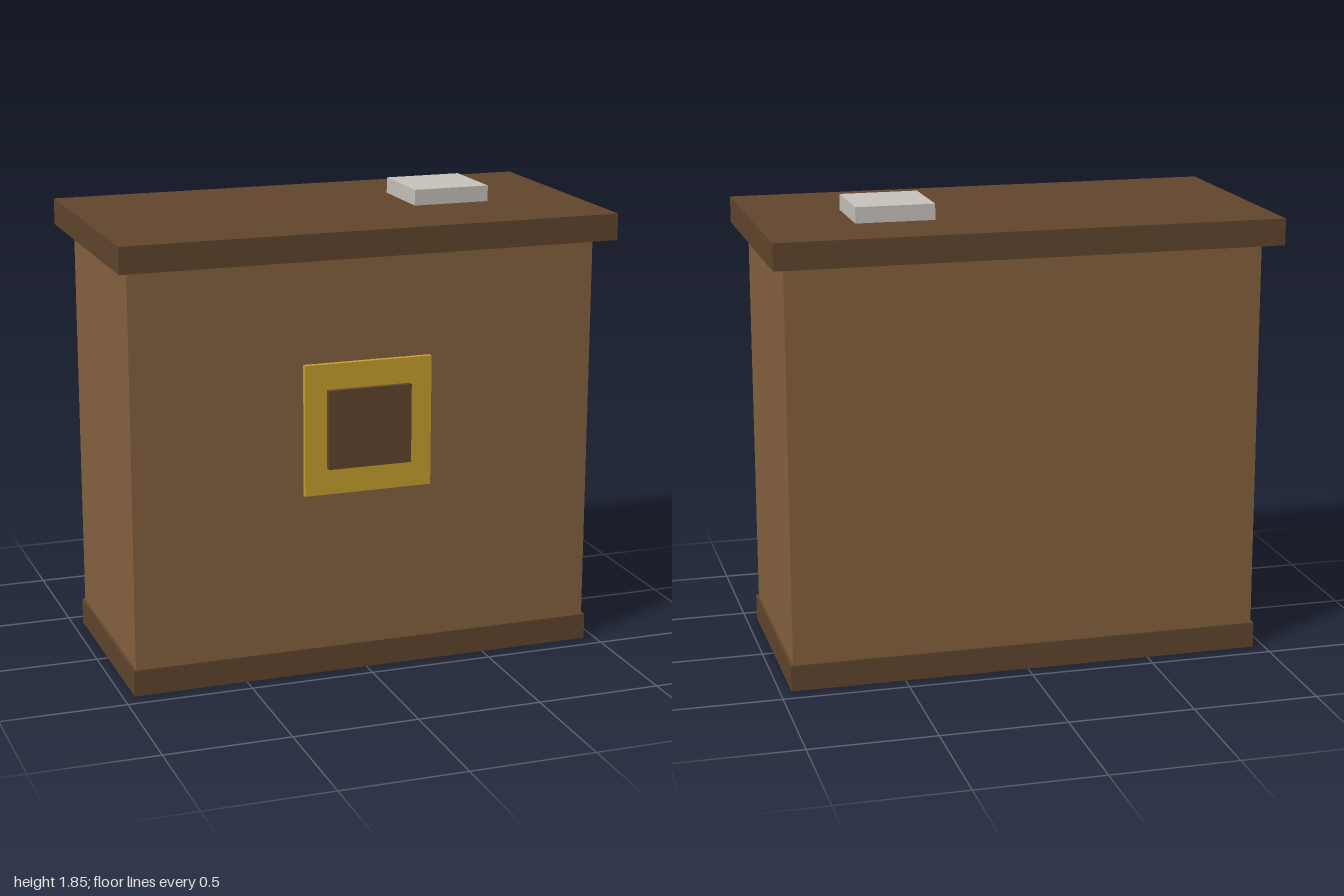
import * as THREE from 'three';

export function createModel() {
  const model = new THREE.Group();
  model.name = 'counter';

  const material = (name, color) => {
    const m = new THREE.MeshStandardMaterial({ color });
    m.name = name;
    return m;
  };
  const wood = material('wood', 0x876240);
  const darkWood = material('darkWood', 0x62462d);
  const gold = material('gold', 0xc9a22d);
  const paper = material('paper', 0xc9c5be);

  // Box given by its extents along each axis
  const box = (name, mat, [x0, x1], [y0, y1], [z0, z1]) => {
    const mesh = new THREE.Mesh(new THREE.BoxGeometry(x1 - x0, y1 - y0, z1 - z0), mat);
    mesh.position.set((x0 + x1) / 2, (y0 + y1) / 2, (z0 + z1) / 2);
    mesh.name = name;
    model.add(mesh);
  };

  // Cabinet: plinth, body and overhanging top
  box('plinth', darkWood, [-0.955, 0.955], [0, 0.105], [-0.43, 0.43]);
  box('body', wood, [-0.945, 0.945], [0.105, 1.685], [-0.42, 0.42]);
  box('counterTop', darkWood, [-1, 1], [1.685, 1.79], [-0.527, 0.527]);

  // Emblem on the front: gold plate with a raised dark centre
  box('emblemPlate', gold, [-0.26, 0.26], [0.74, 1.262], [0.42, 0.441]);
  box('emblemCentre', darkWood, [-0.17, 0.17], [0.845, 1.16], [0.441, 0.462]);

  // Stack of paper lying on the top
  box('paperStack', paper, [0.315, 0.628], [1.79, 1.853], [-0.21, 0.105]);

  return model;
}
